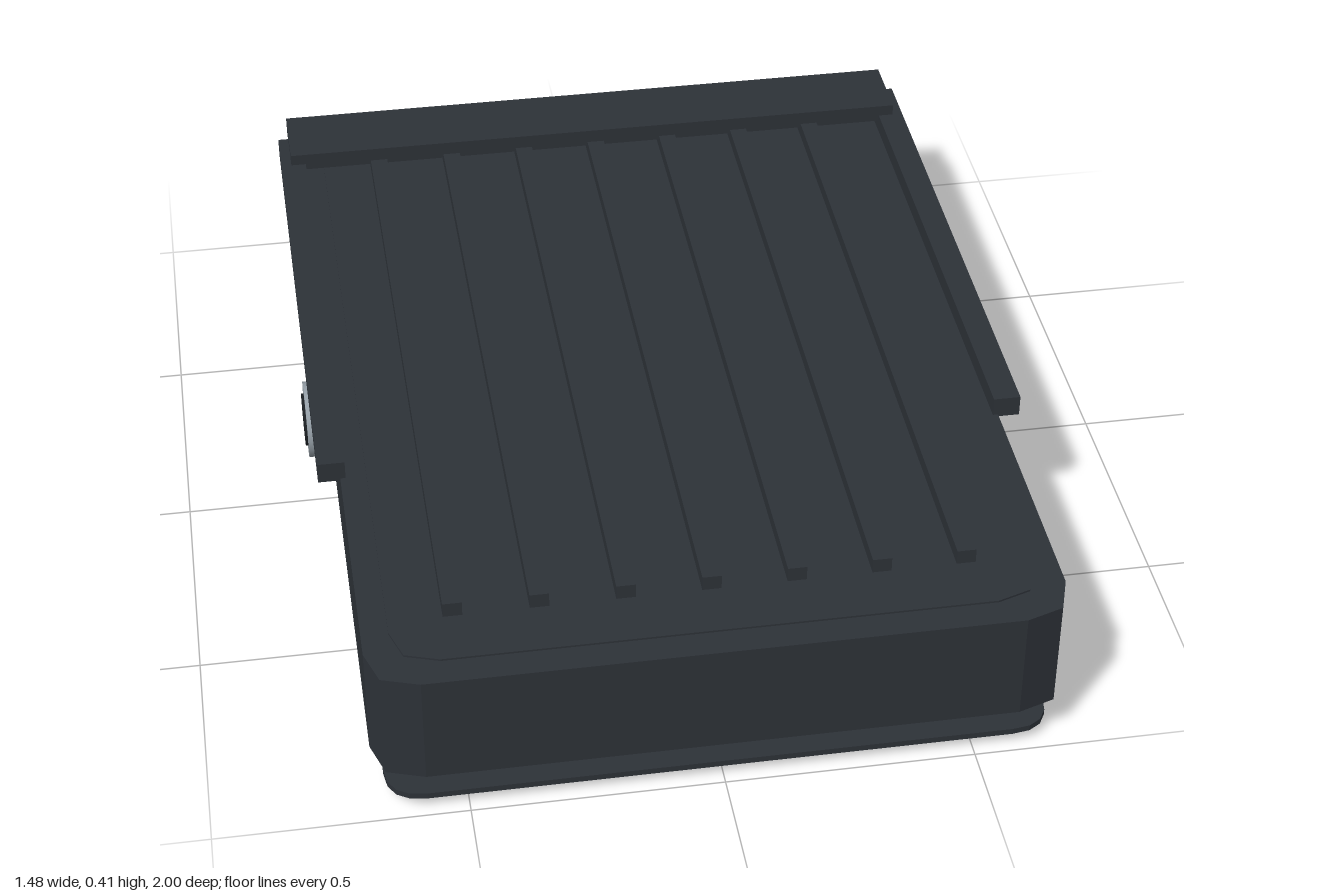
import * as THREE from 'three';

const paint = (color) => new THREE.MeshStandardMaterial({ color });
const dark = paint(0x2d3238);
const black = paint(0x1c2024);
const metal = paint(0x98a2aa);
const panel = paint(0xa6adb0);
const brass = paint(0xb08d57);

// Horizontal slab with rounded corners, between heights y0 and y1
function slab(halfX, z0, z1, y0, y1, radius, segments = 4) {
  const w = halfX, a = -z1, b = -z0, r = radius;
  const s = new THREE.Shape();
  s.moveTo(-w + r, a);
  s.lineTo(w - r, a);
  s.quadraticCurveTo(w, a, w, a + r);
  s.lineTo(w, b - r);
  s.quadraticCurveTo(w, b, w - r, b);
  s.lineTo(-w + r, b);
  s.quadraticCurveTo(-w, b, -w, b - r);
  s.lineTo(-w, a + r);
  s.quadraticCurveTo(-w, a, -w + r, a);
  const g = new THREE.ExtrudeGeometry(s, { depth: y1 - y0, bevelEnabled: false, curveSegments: segments });
  return g.rotateX(-Math.PI / 2).translate(0, y0, 0);
}

// Box given by its limits on each axis
function block(x0, x1, y0, y1, z0, z1) {
  return new THREE.BoxGeometry(x1 - x0, y1 - y0, z1 - z0)
    .translate((x0 + x1) / 2, (y0 + y1) / 2, (z0 + z1) / 2);
}

export function createModel() {
  const model = new THREE.Group();
  const add = (name, geometry, material) => {
    const mesh = new THREE.Mesh(geometry, material);
    mesh.name = name;
    model.add(mesh);
    return mesh;
  };

  // Main housing with a shallow raised top
  add('body', slab(0.683, -1, 1, 0.102, 0.34, 0.1, 2), dark);
  add('topPlate', slab(0.63, -0.94, 0.94, 0.338, 0.344, 0.09, 2), dark);

  // Ribs along the top
  for (let i = -3; i <= 3; i++) {
    const x = i * 0.168;
    add('rib', block(x - 0.019, x + 0.019, 0.335, 0.375, -0.8, 0.82), dark);
  }

  // Side rails and the bar across the back
  for (const side of [-1, 1]) {
    const rail = add('sideRail', block(-0.028, 0.028, 0.335, 0.38, -0.865, 0.362), dark);
    rail.position.x = side * 0.7;
  }
  add('rearBar', block(-0.705, 0.705, 0.366, 0.405, -0.915, -0.752), dark);

  // Round side knobs: metal collar with dark cap
  for (const side of [-1, 1]) {
    const collar = new THREE.CylinderGeometry(0.081, 0.081, 0.06, 20).rotateZ(Math.PI / 2);
    add('knobCollar', collar, metal).position.set(side * 0.705, 0.221, 0);
    const cap = new THREE.CylinderGeometry(0.056, 0.056, 0.02, 20).rotateZ(Math.PI / 2);
    add('knobCap', cap, black).position.set(side * 0.73, 0.221, 0);
  }

  // Stacked layers under the housing
  add('gasket', slab(0.585, -0.35, 0.9, 0.096, 0.103, 0.05), black);
  for (const z of [0.65, 0.275, -0.1])
    for (let i = -2; i <= 2; i++) {
      const contact = new THREE.CylinderGeometry(0.018, 0.018, 0.005, 12);
      add('contact', contact, brass).position.set(i * 0.216, 0.071, z);
    }
  add('upperLayer', slab(0.613, -0.385, 0.93, 0.053, 0.059, 0.05), black);
  add('middleLayer', slab(0.56, -0.365, 0.91, 0.041, 0.045, 0.05), black);
  add('basePlate', slab(0.66, -0.432, 0.98, 0.025, 0.038, 0.08), dark);
  add('basePanel', slab(0.605, -0.378, 0.926, 0.022, 0.026, 0.05), panel);

  // Corner screws that carry the model
  for (const x of [-0.59, 0.59])
    for (const z of [-0.357, 0.905]) {
      const seat = new THREE.CylinderGeometry(0.026, 0.026, 0.004, 16);
      add('screwSeat', seat, dark).position.set(x, 0.021, z);
      const screw = new THREE.CylinderGeometry(0.017, 0.017, 0.014, 16);
      add('screw', screw, metal).position.set(x, 0.007, z);
    }

  // Hatch behind the base plate, with its latch
  add('hatchRim', slab(0.6, -0.855, -0.48, 0.052, 0.06, 0.05), dark);
  add('hatchCover', slab(0.565, -0.832, -0.5, 0.037, 0.045, 0.05), black);
  add('hatchLatch', block(-0.54, -0.4, 0.045, 0.053, -0.855, -0.8), metal);

  return model;
}
